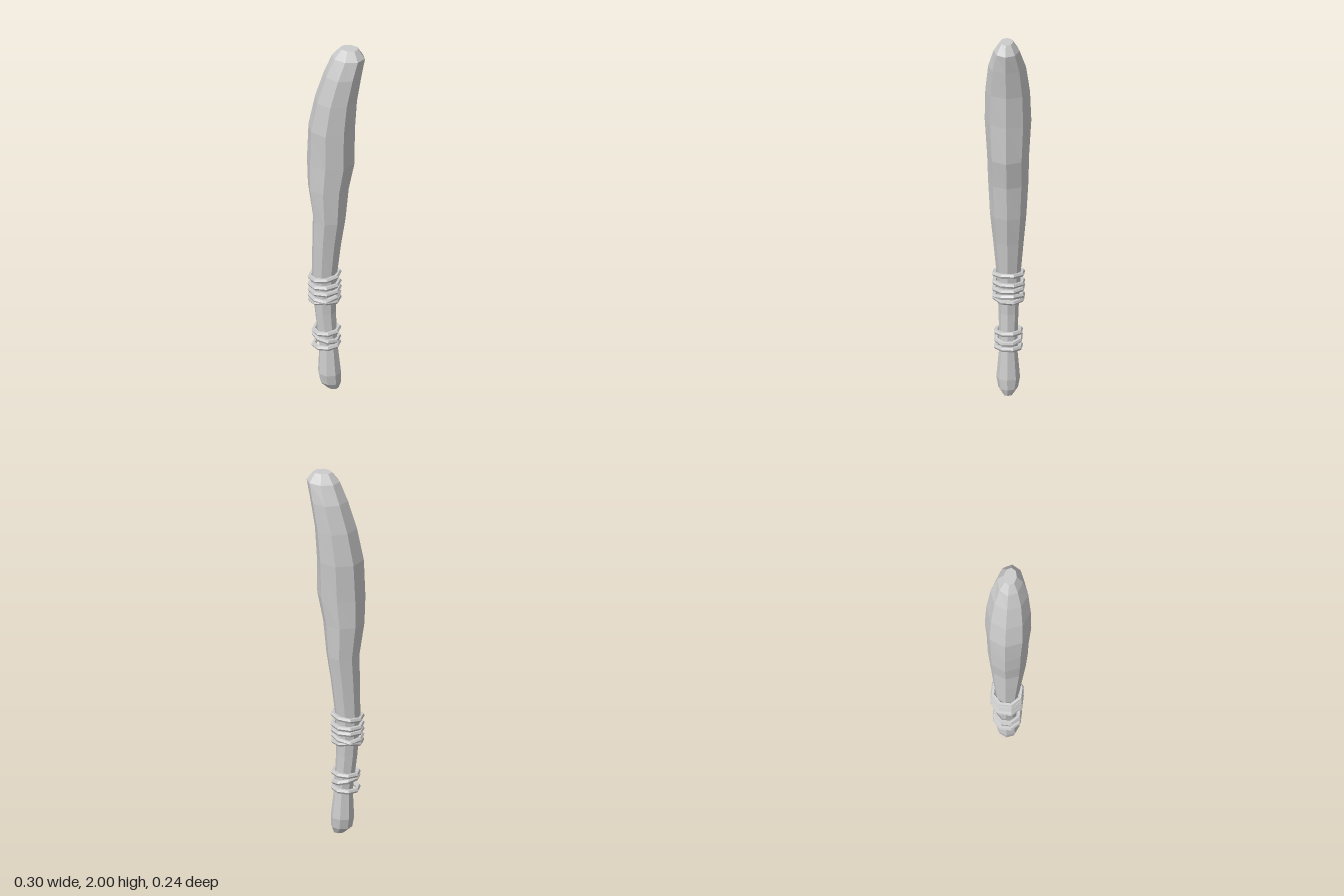
import * as THREE from 'three';

const SIDES = 8;

// Faceted body lofted through octagonal rings: [y, xMin, xMax, halfDepth]
const RINGS = [
  [0.01, -0.045, 0.012, 0.025],
  [0.045, -0.085, 0.024, 0.05],
  [0.1, -0.095, 0.025, 0.06],
  [0.25, -0.088, 0.008, 0.046],
  [0.45, -0.112, -0.002, 0.05],
  [0.67, -0.127, 0.004, 0.062],
  [0.85, -0.125, 0.025, 0.078],
  [1.0, -0.122, 0.048, 0.092],
  [1.18, -0.148, 0.065, 0.102],
  [1.33, -0.153, 0.095, 0.106],
  [1.53, -0.145, 0.097, 0.118],
  [1.7, -0.11, 0.108, 0.113],
  [1.85, -0.063, 0.132, 0.096],
  [1.95, -0.022, 0.15, 0.066],
  [2.0, 0.02, 0.115, 0.034],
];

function bodyGeometry() {
  const pos = [], index = [];
  for (const [y, x0, x1, d] of RINGS) {
    for (let i = 0; i < SIDES; i++) {
      const a = (i / SIDES) * Math.PI * 2;
      pos.push((x0 + x1) / 2 + ((x1 - x0) / 2) * Math.cos(a), y, d * Math.sin(a));
    }
  }
  const last = RINGS.length - 1;
  for (let j = 0; j < last; j++) {
    for (let i = 0; i < SIDES; i++) {
      const k = (i + 1) % SIDES;
      const a = j * SIDES + i, b = j * SIDES + k;
      index.push(a, a + SIDES, b + SIDES, a, b + SIDES, b);
    }
  }
  // End caps
  const bottom = pos.length / 3;
  pos.push(-0.016, 0, 0, (RINGS[last][1] + RINGS[last][2]) / 2, 2, 0);
  for (let i = 0; i < SIDES; i++) {
    const k = (i + 1) % SIDES;
    index.push(bottom, i, k, bottom + 1, last * SIDES + k, last * SIDES + i);
  }
  const g = new THREE.BufferGeometry();
  g.setAttribute('position', new THREE.Float32BufferAttribute(pos, 3));
  g.setIndex(index);
  g.computeVertexNormals();
  return g;
}

// Cord loops: [y, tilt about z, tilt about x]
const UPPER = [[0.662, 0.13, 0.02], [0.615, 0.05, -0.03], [0.583, 0.03, 0.03], [0.538, 0.24, 0.05], [0.536, -0.14, -0.06]];
const LOWER = [[0.346, 0.05, 0.02], [0.31, -0.24, 0.03], [0.262, 0.05, -0.02]];

function wrapping(name, loops, x, halfWidth, material) {
  const group = new THREE.Group();
  group.name = name;
  const tube = 0.013;
  // Octagonal loop with flat sides facing the axes
  const radius = halfWidth / Math.cos(Math.PI / 8) - tube;
  const geo = new THREE.TorusGeometry(radius, tube, 6, SIDES);
  geo.rotateZ(Math.PI / 8).rotateX(Math.PI / 2);
  for (const [y, tiltZ, tiltX] of loops) {
    const loop = new THREE.Mesh(geo, material);
    loop.name = 'cordLoop';
    loop.position.set(x, y, 0);
    loop.rotation.set(tiltX, 0, tiltZ);
    group.add(loop);
  }
  return group;
}

export function createModel() {
  const model = new THREE.Group();
  model.name = 'woodenClub';
  const material = new THREE.MeshStandardMaterial({ color: 0xcccccc, flatShading: true });

  const body = new THREE.Mesh(bodyGeometry(), material);
  body.name = 'clubBody';
  model.add(body);

  // Cord wrapped around both ends of the grip
  model.add(wrapping('upperWrapping', UPPER, -0.061, 0.081, material));
  model.add(wrapping('lowerWrapping', LOWER, -0.052, 0.071, material));
  return model;
}
